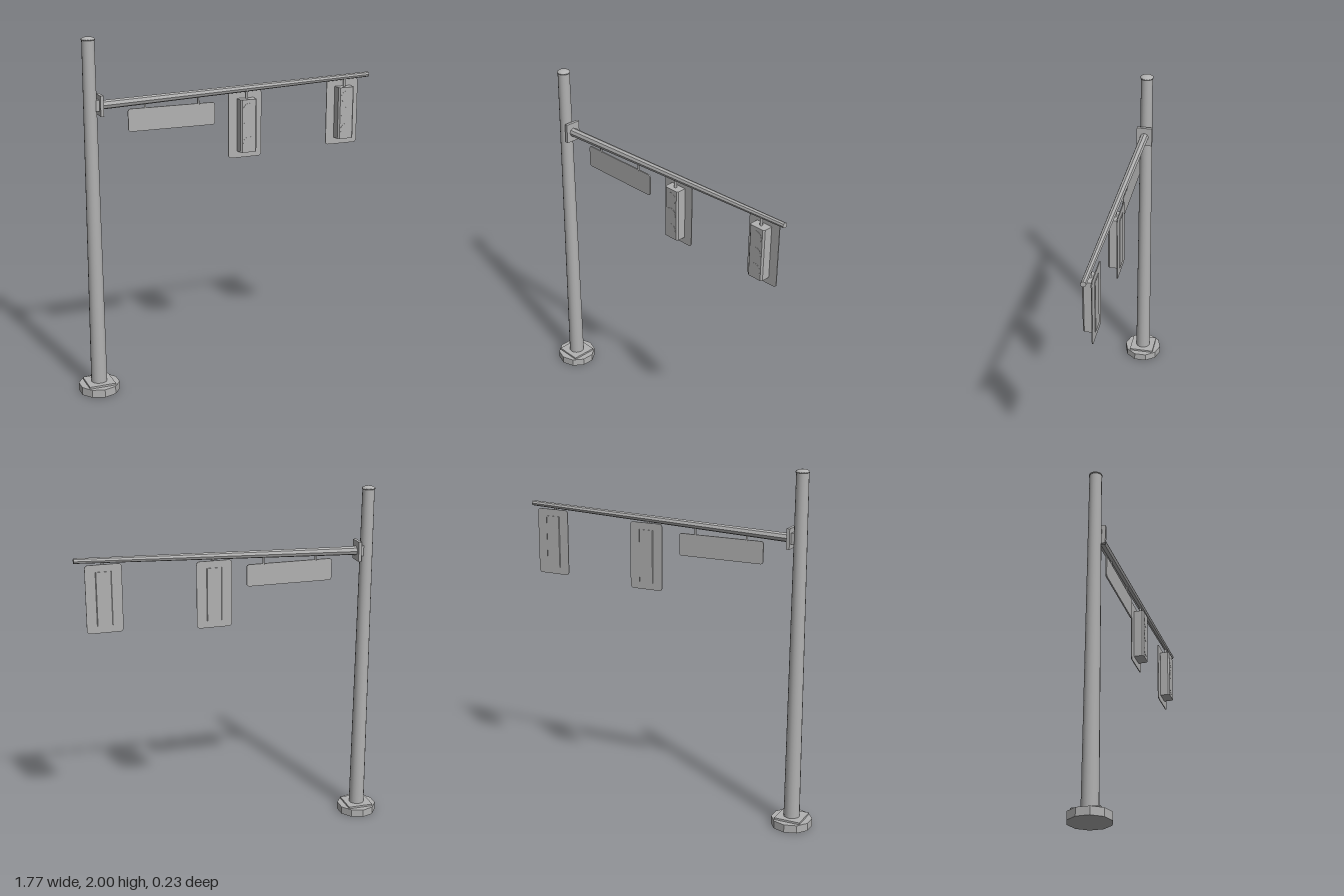
import * as THREE from 'three';

export function createModel() {
  const model = new THREE.Group();
  model.name = 'trafficSignalPole';
  const grey = new THREE.MeshStandardMaterial({ color: 0xb2b2b2 });
  grey.name = 'galvanised grey';
  const faceted = (g) => {
    const flat = g.toNonIndexed();
    flat.computeVertexNormals();
    return flat;
  };
  const add = (name, geo, x, y, z, parent = model) => {
    const mesh = new THREE.Mesh(geo, grey);
    mesh.name = name;
    mesh.position.set(x, y, z);
    parent.add(mesh);
    return mesh;
  };

  // Thin upright plate with rounded corners, centred on its origin
  const roundedPlate = (w, h, r, depth) => {
    const x = w / 2 - r, y = h / 2 - r;
    const s = new THREE.Shape();
    s.absarc(x, y, r, 0, Math.PI / 2);
    s.absarc(-x, y, r, Math.PI / 2, Math.PI);
    s.absarc(-x, -y, r, Math.PI, Math.PI * 1.5);
    s.absarc(x, -y, r, Math.PI * 1.5, Math.PI * 2);
    s.closePath();
    return new THREE.ExtrudeGeometry(s, { depth, bevelEnabled: false, curveSegments: 5 })
      .translate(0, 0, -depth / 2);
  };

  // Footing and square base plate
  const px = -0.78;
  add('footing', faceted(new THREE.CylinderGeometry(0.115, 0.115, 0.045, 10)), px, 0.0225, 0);
  add('basePlate', new THREE.BoxGeometry(0.15, 0.012, 0.15), px, 0.05, 0);

  // Tapered pole with a shallow domed cap
  add('pole', new THREE.CylinderGeometry(0.034, 0.045, 1.935, 16), px, 1.0225, 0);
  const capProfile = [[0, 0], [0.037, 0], [0.037, 0.007], [0.028, 0.013], [0.014, 0.017], [0, 0.018]]
    .map(([x, y]) => new THREE.Vector2(x, y));
  add('poleCap', new THREE.LatheGeometry(capProfile, 16), px, 1.982, 0);

  // Flange joining arm and pole
  add('armStub', new THREE.BoxGeometry(0.03, 0.06, 0.05), -0.745, 1.635, 0);
  add('armFlange', new THREE.BoxGeometry(0.018, 0.112, 0.09), -0.726, 1.635, 0);

  // Tapered, slightly rising arm
  const start = new THREE.Vector3(-0.722, 1.634, 0), end = new THREE.Vector3(0.885, 1.692, 0);
  const span = end.clone().sub(start);
  const mid = start.clone().add(end).multiplyScalar(0.5);
  const arm = add('arm', faceted(new THREE.CylinderGeometry(0.015, 0.025, span.length(), 8)),
    mid.x, mid.y, mid.z);
  arm.quaternion.setFromUnitVectors(new THREE.Vector3(0, 1, 0), span.clone().normalize());
  const armY = (x) => start.y + (x - start.x) * span.y / span.x;

  // Rod hanging from the centre of the arm
  const hanger = (name, x, bottom, r) => {
    const h = armY(x) - bottom;
    add(name, new THREE.CylinderGeometry(r, r, h, 8), x, bottom + h / 2, 0);
  };

  // Street sign on two hangers
  add('signPanel', roundedPlate(0.5, 0.125, 0.015, 0.008), -0.322, 1.538, 0);
  for (const x of [-0.475, -0.168]) hanger('signHanger', x, 1.595, 0.006);

  // Signal housing: chamfered outline extruded upwards
  const w = 0.049, d = 0.033, c = 0.009;
  const outline = new THREE.Shape([
    [w, -d + c], [w, d - c], [w - c, d], [-w + c, d],
    [-w, d - c], [-w, -d + c], [-w + c, -d], [w - c, -d],
  ].map(([x, y]) => new THREE.Vector2(x, y)));
  const housing = new THREE.ExtrudeGeometry(outline, { depth: 0.3, bevelEnabled: false })
    .translate(0, 0, -0.15).rotateX(-Math.PI / 2);
  const backplate = roundedPlate(0.2, 0.38, 0.018, 0.005);
  const lens = new THREE.CylinderGeometry(0.035, 0.035, 0.002, 20).rotateX(Math.PI / 2);

  for (const [x, y] of [[0.122, 1.455], [0.733, 1.48]]) {
    const signal = new THREE.Group();
    signal.name = 'signalHead';
    signal.position.set(x, y, 0);
    model.add(signal);
    add('signalHousing', housing, 0, 0, 0, signal);
    add('signalBackplate', backplate, 0, 0, -0.027, signal);
    for (const ly of [-0.095, 0, 0.095]) add('signalLens', lens, 0, ly, d, signal);
    hanger('signalHanger', x, y + 0.145, 0.008);
  }

  return model;
}
